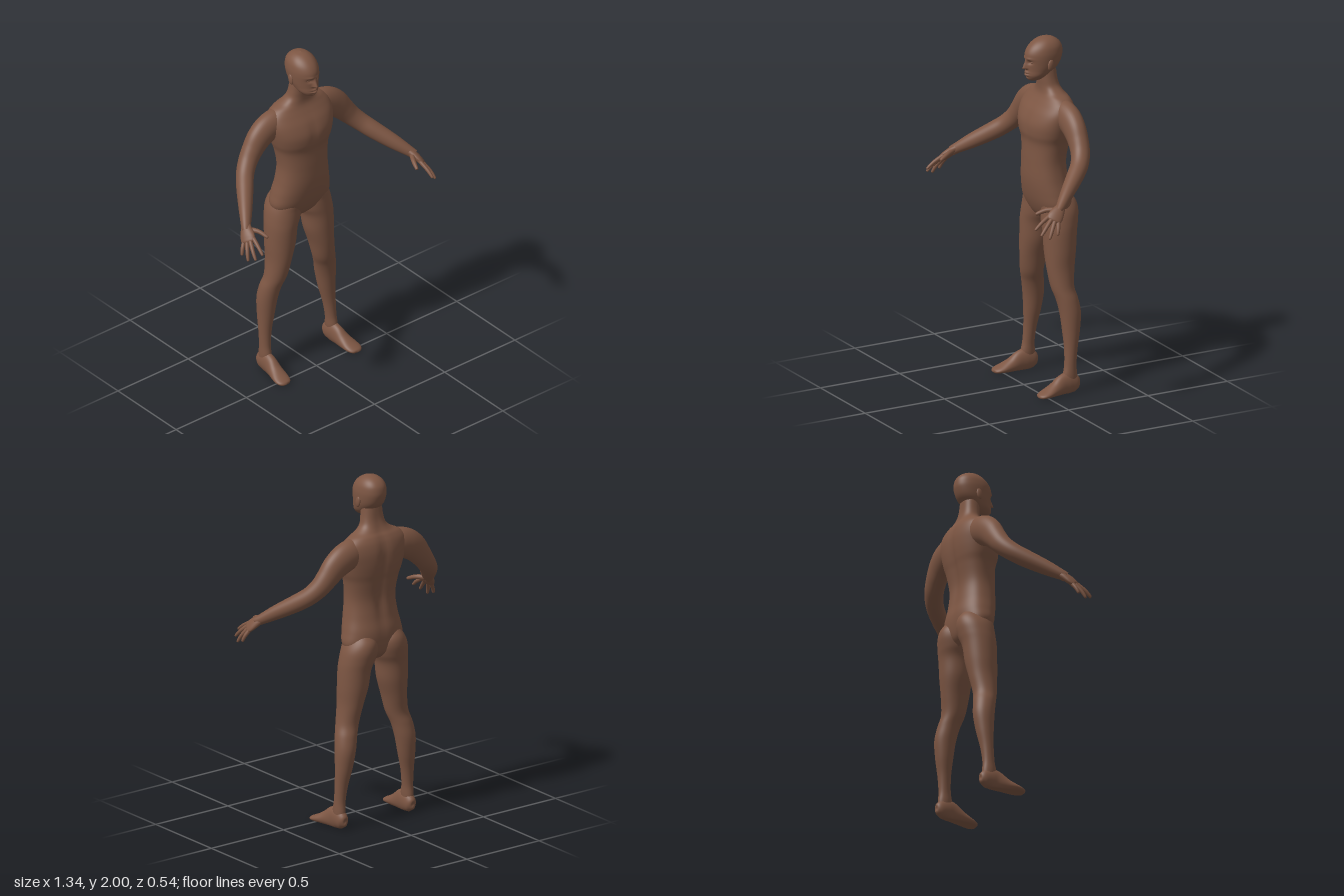
import * as THREE from 'three';

const skin = new THREE.MeshStandardMaterial({ color: 0x7d5643 });
skin.name = 'brown skin';

// Smooth (Catmull-Rom) sample of a table of rows, t in 0..1
function sample(rows, t) {
  const f = t * (rows.length - 1), i = Math.min(Math.floor(f), rows.length - 2), k = f - i;
  const r = (n) => rows[Math.max(0, Math.min(rows.length - 1, n))];
  return rows[0].map((_, c) => {
    const [a, b, d, e] = [r(i - 1)[c], r(i)[c], r(i + 1)[c], r(i + 2)[c]];
    return b + 0.5 * k * (d - a + k * (2 * a - 5 * b + 4 * d - e + k * (3 * (b - d) + e - a)));
  });
}

// Closed skin around rings; point(t, angle) gives a Vector3, side -1 mirrors it in x
function wrap(name, rings, segs, point, side = 1) {
  const pos = [], idx = [];
  for (let i = 0; i <= rings; i++) {
    for (let j = 0; j < segs; j++) {
      const p = point(i / rings, (j / segs) * Math.PI * 2);
      pos.push(p.x * side, p.y, p.z);
      if (i === rings) continue;
      const n = (j + 1) % segs;
      const a = i * segs + j, b = a + segs, c = i * segs + n, d = c + segs;
      if (side > 0) idx.push(a, b, c, c, b, d);
      else idx.push(a, c, b, c, d, b);
    }
  }
  const g = new THREE.BufferGeometry();
  g.setAttribute('position', new THREE.Float32BufferAttribute(pos, 3));
  g.setIndex(idx);
  g.computeVertexNormals();
  const m = new THREE.Mesh(g, skin);
  m.name = name;
  return m;
}

const power = (v, p) => Math.sign(v) * Math.abs(v) ** p;
const bump = (d, w) => Math.exp(-(d * d) / (w * w));

// Level rings from rows of [y, xMin, xMax, zBack, zFront]
function loft(name, rows, rings, segs, { side = 1, p = 1, rule } = {}) {
  return wrap(name, rings, segs, (t, a) => {
    const [y, x0, x1, z0, z1] = sample(rows, t);
    const v = new THREE.Vector3(
      (x0 + x1) / 2 + ((x1 - x0) / 2) * power(Math.cos(a), p), y,
      (z0 + z1) / 2 + ((z1 - z0) / 2) * power(Math.sin(a), p));
    if (rule) rule(v, Math.sin(a));
    return v;
  }, side);
}

// Rings across a path of [x, y, z, wide radius, thin radius]
function sweep(name, rows, wide, rings, segs, side, rule) {
  return wrap(name, rings, segs, (t, a) => {
    const s = sample(rows, t);
    const p0 = sample(rows, Math.max(0, t - 0.01)), p1 = sample(rows, Math.min(1, t + 0.01));
    const T = new THREE.Vector3(p1[0] - p0[0], p1[1] - p0[1], p1[2] - p0[2]).normalize();
    const W = new THREE.Vector3(...wide);
    W.addScaledVector(T, -W.dot(T)).normalize();
    const N = W.clone().cross(T);
    const v = new THREE.Vector3(s[0], s[1], s[2])
      .addScaledVector(W, Math.max(s[3], 0.0005) * Math.cos(a))
      .addScaledVector(N, Math.max(s[4], 0.0005) * Math.sin(a));
    if (rule) rule(v);
    return v;
  }, side);
}

const even = (rows) => rows.map(([y, w, zb, zf]) => [y, -w, w, zb, zf]);

function torso() {
  const rows = even([
    [0.95, 0.06, -0.2, -0.11], [0.99, 0.15, -0.235, -0.075], [1.05, 0.19, -0.25, -0.048],
    [1.12, 0.181, -0.252, -0.03], [1.2, 0.164, -0.238, -0.02], [1.3, 0.153, -0.23, -0.02],
    [1.4, 0.165, -0.245, -0.022], [1.46, 0.185, -0.258, -0.011], [1.52, 0.2, -0.266, -0.012],
    [1.58, 0.21, -0.266, -0.035], [1.63, 0.2, -0.256, -0.067], [1.665, 0.165, -0.24, -0.088],
    [1.69, 0.115, -0.222, -0.096], [1.72, 0.08, -0.208, -0.097], [1.76, 0.067, -0.197, -0.094],
    [1.82, 0.06, -0.19, -0.09],
  ]);
  return loft('torso and neck', rows, 90, 72, {
    p: 0.88,
    rule: (v, s) => {
      // groove along the spine and a soft hollow between the chest muscles
      if (s < 0) v.z += 0.016 * bump(v.x, 0.03) * bump(v.y - 1.42, 0.25);
      else v.z -= 0.006 * bump(v.x, 0.025) * bump(v.y - 1.52, 0.07);
    },
  });
}

function head() {
  const rows = even([
    [1.757, 0.018, -0.085, -0.042], [1.766, 0.036, -0.11, -0.024], [1.79, 0.058, -0.15, -0.014],
    [1.82, 0.07, -0.19, -0.016], [1.85, 0.077, -0.215, -0.015], [1.89, 0.081, -0.23, -0.012],
    [1.92, 0.08, -0.232, -0.017], [1.95, 0.073, -0.225, -0.035], [1.975, 0.057, -0.205, -0.063],
    [1.992, 0.033, -0.175, -0.097], [2.0, 0.001, -0.137, -0.133],
  ]);
  return loft('head', rows, 110, 112, {
    p: 0.92,
    rule: (v, s) => {
      if (s <= 0) return;
      const x = Math.abs(v.x), y = v.y;
      // nose: ridge growing towards the tip, with nostrils
      const k = THREE.MathUtils.clamp((1.885 - y) / 0.05, 0, 1) * THREE.MathUtils.smoothstep(y, 1.82, 1.833);
      v.z += s * 0.026 * k * bump(x, 0.008 + 0.006 * k);
      // eye sockets, brow, lips, mouth line and chin
      v.z -= s * 0.011 * bump(x - 0.03, 0.017) * bump(y - 1.868, 0.011);
      v.z += s * 0.004 * bump(x - 0.03, 0.024) * bump(y - 1.888, 0.007);
      v.z += s * 0.008 * bump(x, 0.02) * (bump(y - 1.808, 0.006) + bump(y - 1.793, 0.006));
      v.z -= s * 0.005 * bump(x, 0.024) * bump(y - 1.8, 0.003);
      v.z -= s * 0.004 * bump(x, 0.02) * bump(y - 1.781, 0.005);
      // face narrows towards the front
      v.x *= 1 - 0.15 * s * s;
    },
  });
}

function ellipsoid(name, r, at, tilt = 0) {
  const m = new THREE.Mesh(new THREE.SphereGeometry(1, 20, 14), skin);
  m.name = name;
  m.scale.set(...r);
  m.position.set(...at);
  m.rotation.x = tilt;
  return m;
}

function leg(side) {
  const g = new THREE.Group();
  g.name = side > 0 ? 'leftLeg' : 'rightLeg';
  g.add(loft('thigh and shin', [
    [1.12, 0.05, 0.14, -0.22, -0.09], [1.07, 0.012, 0.176, -0.262, -0.062], [1.02, 0, 0.2, -0.272, -0.06],
    [0.96, 0.01, 0.213, -0.263, -0.058], [0.9, 0.035, 0.219, -0.25, -0.058], [0.8, 0.05, 0.222, -0.24, -0.06],
    [0.7, 0.08, 0.222, -0.225, -0.066], [0.6, 0.105, 0.235, -0.212, -0.08], [0.53, 0.13, 0.254, -0.225, -0.1],
    [0.45, 0.148, 0.265, -0.235, -0.115], [0.35, 0.167, 0.266, -0.224, -0.125], [0.25, 0.19, 0.265, -0.205, -0.13],
    [0.16, 0.203, 0.265, -0.196, -0.126], [0.1, 0.205, 0.267, -0.2, -0.115], [0.05, 0.21, 0.265, -0.2, -0.12],
  ].reverse(), 80, 48, { side }));
  g.add(sweep('foot', [
    [0.235, 0.04, -0.216, 0.001, 0.001], [0.235, 0.04, -0.21, 0.018, 0.026], [0.235, 0.046, -0.19, 0.032, 0.048],
    [0.236, 0.055, -0.15, 0.036, 0.062], [0.238, 0.05, -0.11, 0.036, 0.06], [0.243, 0.034, -0.06, 0.041, 0.042],
    [0.25, 0.022, -0.01, 0.047, 0.026], [0.255, 0.015, 0.025, 0.043, 0.017], [0.257, 0.011, 0.045, 0.028, 0.011],
    [0.257, 0.009, 0.053, 0.001, 0.001],
  ], [1, 0, 0], 50, 40, side, (v) => { v.y = Math.max(v.y, 0.003 * (1 - bump(v.z + 0.17, 0.06))); }));
  return g;
}

function arm(side) {
  const g = new THREE.Group();
  g.name = side > 0 ? 'leftArm' : 'rightArm';
  // shoulder to wrist
  g.add(sweep('upper arm and forearm', [
    [0.08, 1.59, -0.165, 0.06, 0.045], [0.14, 1.585, -0.168, 0.082, 0.064], [0.21, 1.566, -0.17, 0.085, 0.064],
    [0.27, 1.528, -0.168, 0.078, 0.06], [0.32, 1.475, -0.163, 0.065, 0.056], [0.365, 1.422, -0.15, 0.056, 0.053],
    [0.412, 1.372, -0.117, 0.051, 0.05], [0.46, 1.325, -0.06, 0.049, 0.047], [0.53, 1.262, 0.03, 0.041, 0.037],
    [0.585, 1.212, 0.1, 0.029, 0.026], [0.597, 1.198, 0.118, 0.028, 0.02],
  ], [0.5, 1, 0], 70, 40, side));
  // palm, widest across the knuckles
  const across = [-0.4, 0.25, 0.85];
  g.add(sweep('palm', [
    [0.572, 1.224, 0.085, 0.022, 0.018], [0.589, 1.206, 0.108, 0.032, 0.022], [0.603, 1.186, 0.133, 0.041, 0.021],
    [0.613, 1.17, 0.151, 0.043, 0.018], [0.621, 1.158, 0.164, 0.036, 0.013], [0.625, 1.152, 0.17, 0.001, 0.001],
  ], across, 30, 28, side));
  // fingers from knuckle to tip
  const digits = {
    indexFinger: [[0.594, 1.185, 0.165], [0.602, 1.15, 0.226], [0.606, 1.116, 0.27]],
    middleFinger: [[0.609, 1.172, 0.163], [0.631, 1.127, 0.215], [0.64, 1.088, 0.251]],
    ringFinger: [[0.62, 1.163, 0.152], [0.646, 1.112, 0.186], [0.659, 1.07, 0.208]],
    littleFinger: [[0.622, 1.163, 0.133], [0.65, 1.12, 0.149], [0.663, 1.086, 0.16]],
    thumb: [[0.582, 1.203, 0.12], [0.551, 1.2, 0.17], [0.531, 1.18, 0.225]],
  };
  for (const [name, [a, b, c]] of Object.entries(digits)) {
    const end = c.map((v, i) => b[i] + (v - b[i]) * 0.9);
    const r = name === 'thumb' ? 0.015 : 0.0125;
    g.add(sweep(name, [
      [...a, r, r], [...b, r * 0.86, r * 0.86], [...end, r * 0.6, r * 0.6], [...c, 0.0005, 0.0005],
    ], across.map((v, i) => (name === 'thumb' ? [0, 1, 0][i] : v)), 24, 14, side));
  }
  return g;
}

export function createModel() {
  const body = new THREE.Group();
  body.name = 'standing figure';
  body.add(torso(), head());
  for (const side of [1, -1]) {
    const label = side > 0 ? 'left' : 'right';
    body.add(leg(side), arm(side));
    body.add(ellipsoid(label + 'Ear', [0.009, 0.031, 0.018], [side * 0.08, 1.853, -0.125], -0.2));
    body.add(ellipsoid(label + 'Eye', [0.013, 0.007, 0.01], [side * 0.029, 1.868, -0.037]));
  }
  return body;
}
